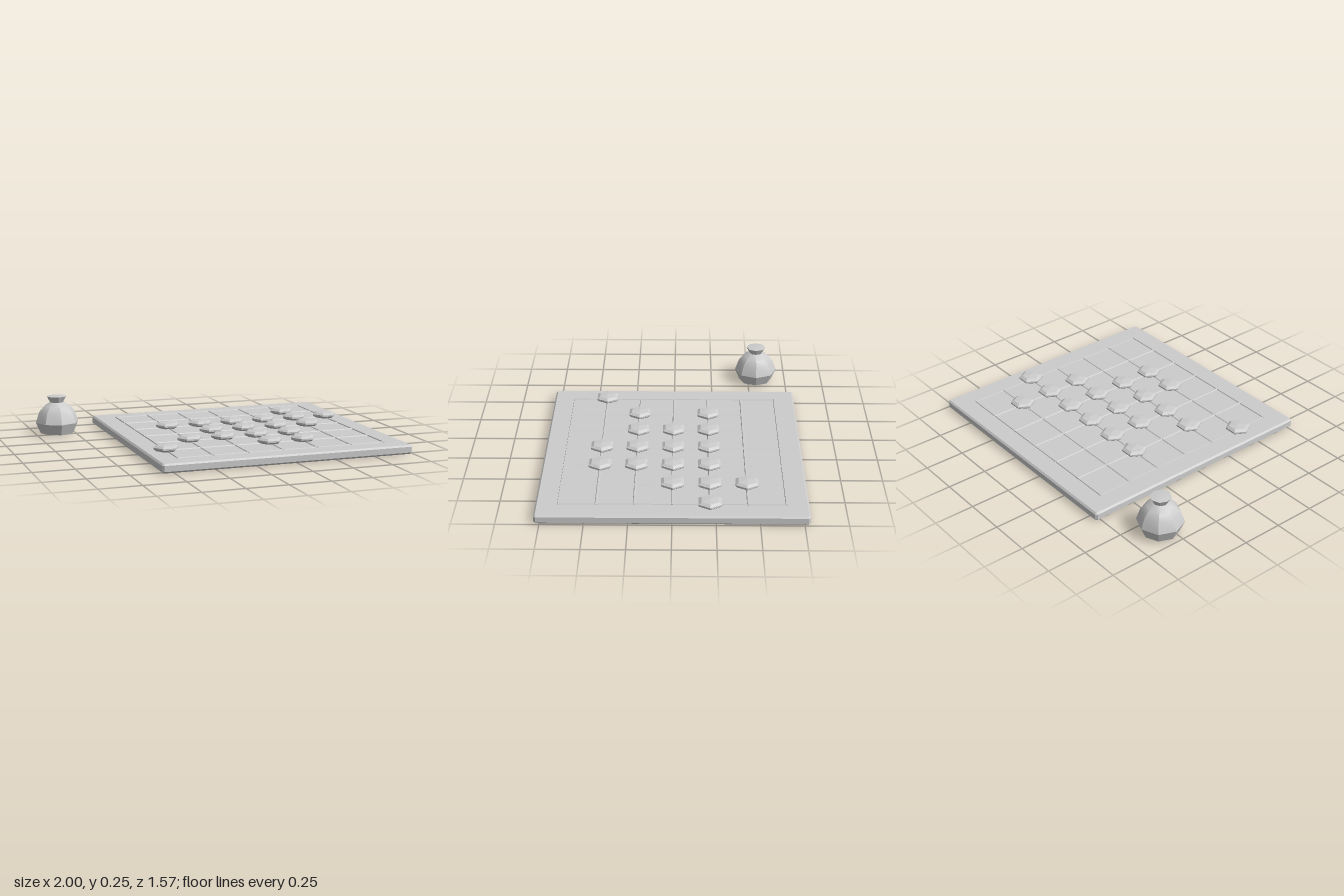
import * as THREE from 'three';
import { toCreasedNormals } from 'three/addons/utils/BufferGeometryUtils.js';

const BOARD_X = 0.213, SIZE = 1.566, TOP = 0.055, STEP = 0.2175;

// Faceted turned solid from [radius, height] pairs, bottom to top
function turned(points, sides, crease) {
  const profile = points.map(([r, y]) => new THREE.Vector2(r, y));
  return toCreasedNormals(new THREE.LatheGeometry(profile, sides, Math.PI / 2), crease);
}

// Square slab with chamfered edges
function slab(size, height, bevel) {
  const h = size / 2 - bevel, c = h - 0.006;
  const shape = new THREE.Shape([
    [c, -h], [h, -c], [h, c], [c, h], [-c, h], [-h, c], [-h, -c], [-c, -h],
  ].map(([x, y]) => new THREE.Vector2(x, y)));
  const geo = new THREE.ExtrudeGeometry(shape, {
    depth: height - 2 * bevel, bevelEnabled: true, bevelSize: bevel,
    bevelThickness: bevel, bevelSegments: 1,
  });
  geo.rotateX(-Math.PI / 2).translate(0, bevel, 0);
  return toCreasedNormals(geo, 0.3);
}

export function createModel() {
  const model = new THREE.Group();
  const grey = new THREE.MeshStandardMaterial({ color: 0xcccccc });
  const add = (parent, name, geometry, x, y, z) => {
    const mesh = new THREE.Mesh(geometry, grey);
    mesh.name = name;
    mesh.position.set(x, y, z);
    parent.add(mesh);
    return mesh;
  };

  // Board
  const board = new THREE.Group();
  board.name = 'gameBoard';
  board.position.set(BOARD_X, 0, 0);
  model.add(board);
  add(board, 'boardSlab', slab(SIZE, TOP, 0.01), 0, 0, 0);

  // Low ridges marking the 7 x 7 grid, the border ones slimmer
  for (let i = -3; i <= 3; i++) {
    const w = Math.abs(i) === 3 ? 0.006 : 0.009;
    const profile = new THREE.Shape([
      new THREE.Vector2(-w, -0.002), new THREE.Vector2(w, -0.002),
      new THREE.Vector2(w * 0.4, 0.005), new THREE.Vector2(-w * 0.4, 0.005),
    ]);
    const length = STEP * 6 + 0.012;
    const ridge = new THREE.ExtrudeGeometry(profile, { depth: length, bevelEnabled: false });
    ridge.translate(0, 0, -length / 2);
    add(board, 'gridLineLengthwise', ridge, i * STEP, TOP, 0);
    add(board, 'gridLineCrosswise', ridge, 0, TOP, i * STEP).rotation.y = Math.PI / 2;
  }

  // Hexagonal stones on the crossings: row -> columns
  const stone = turned(
    [[0, 0], [0.06, 0], [0.077, 0.012], [0.077, 0.022], [0.058, 0.034], [0, 0.04]], 6, 0.05);
  const layout = { 1: [5], 2: [1, 2, 3, 4, 5, 6], 3: [2, 3, 4, 5], 4: [1, 2, 3, 4], 5: [0, 3, 4] };
  for (const [row, columns] of Object.entries(layout)) {
    for (const column of columns) {
      add(board, 'stone', stone, (column - 3) * STEP, TOP, (row - 3) * STEP);
    }
  }

  // Tied pouch standing behind the board's corner
  const pouch = turned([
    [0, 0.002], [0.108, 0.005], [0.139, 0.075], [0.115, 0.145], [0.085, 0.178],
    [0.043, 0.203], [0.063, 0.241], [0, 0.25],
  ], 8, 0.5);
  add(model, 'pouch', pouch, -0.861, 0, -0.55);

  return model;
}
